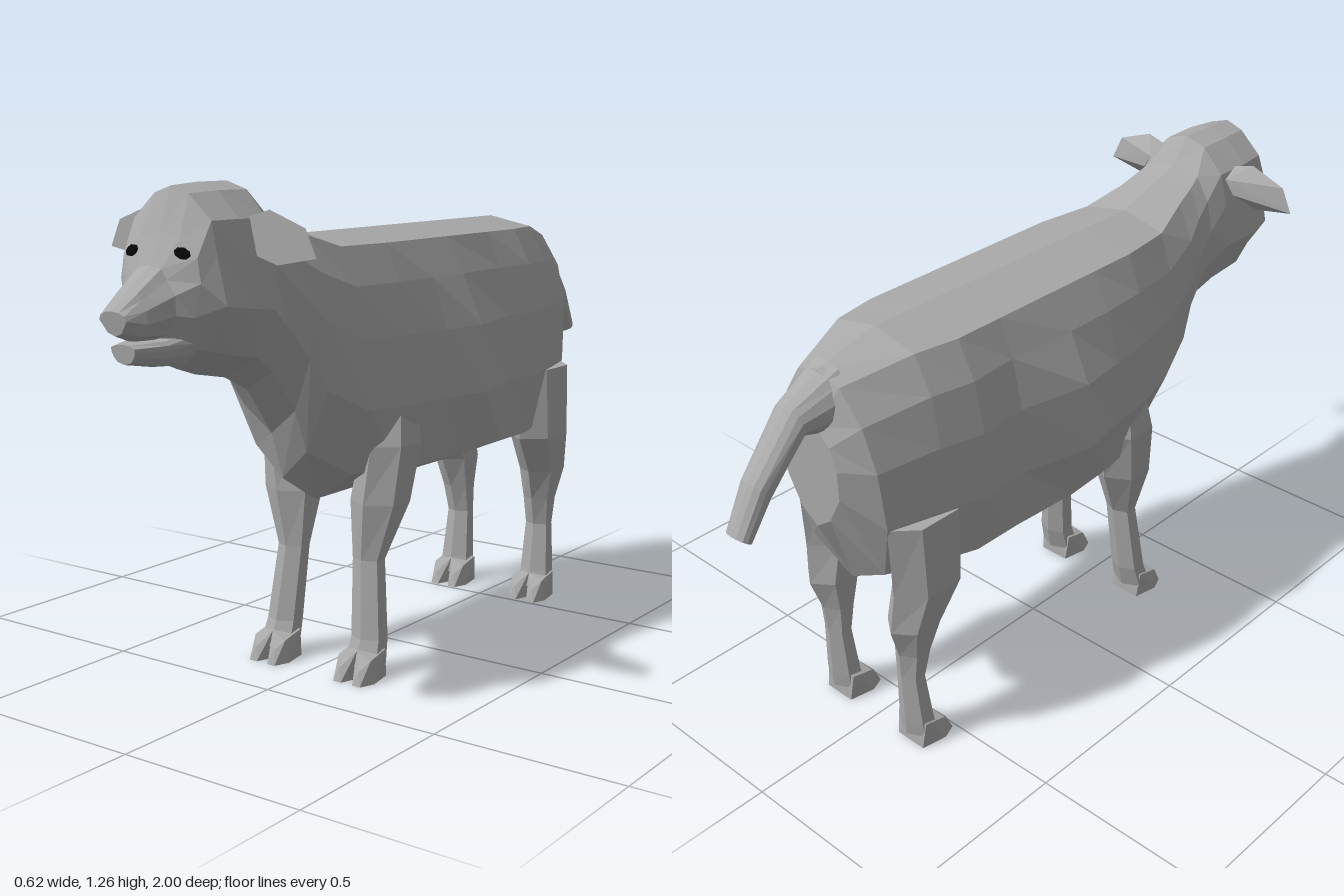
import * as THREE from 'three';
import { ConvexGeometry } from 'three/addons/geometries/ConvexGeometry.js';

// Skin a list of closed rings (arrays of [x, y, z]) and cap both ends
function loft(rings) {
  const n = rings[0].length, index = [];
  for (let i = 0; i < rings.length - 1; i++) {
    for (let j = 0; j < n; j++) {
      const a = i * n + j, b = i * n + (j + 1) % n;
      index.push(a, a + n, b, b, a + n, b + n);
    }
  }
  const last = (rings.length - 1) * n;
  for (let j = 1; j < n - 1; j++) {
    index.push(0, j, j + 1, last, last + j + 1, last + j);
  }
  const g = new THREE.BufferGeometry();
  g.setAttribute('position', new THREE.Float32BufferAttribute(rings.flat(2), 3));
  g.setIndex(index);
  g.computeVertexNormals();
  return g;
}

// Upright ring: top point, bottom point, and half-widths at fixed heights between
const LEVELS = [0.04, 0.18, 0.37, 0.63, 0.88];
function bodyRing([zTop, yTop, zBot, yBot, ...widths]) {
  const at = (x, t) => [x, yTop + (yBot - yTop) * t, zTop + (zBot - zTop) * t];
  const side = widths.map((w, k) => at(w, LEVELS[k]));
  const mirror = side.map(([x, y, z]) => [-x, y, z]).reverse();
  return [at(0, 0), ...side, at(0, 1), ...mirror];
}

// Level hexagonal ring for limbs
function legRing([y, x, z, rx, rz], side) {
  return Array.from({ length: 6 }, (_, k) => {
    const a = (k + 0.5) * Math.PI / 3;
    return [side * x + rx * 1.1 * Math.cos(a), y, z + rz * Math.sin(a)];
  });
}

// zTop, yTop, zBottom, yBottom, five half-widths
const BODY = [
  [-0.76, 0.98, -0.755, 0.68, 0.03, 0.07, 0.09, 0.09, 0.05],
  [-0.72, 1.09, -0.66, 0.48, 0.07, 0.13, 0.16, 0.165, 0.13],
  [-0.54, 1.13, -0.54, 0.46, 0.13, 0.18, 0.205, 0.205, 0.17],
  [-0.42, 1.13, -0.42, 0.45, 0.15, 0.20, 0.23, 0.235, 0.20],
  [-0.28, 1.13, -0.28, 0.45, 0.15, 0.19, 0.22, 0.225, 0.20],
  [-0.08, 1.13, -0.08, 0.45, 0.15, 0.20, 0.26, 0.275, 0.21],
  [0.06, 1.13, 0.06, 0.45, 0.15, 0.20, 0.24, 0.245, 0.20],
  [0.20, 1.13, 0.19, 0.45, 0.15, 0.19, 0.22, 0.225, 0.18],
  [0.36, 1.13, 0.30, 0.45, 0.13, 0.17, 0.19, 0.19, 0.12],
  [0.47, 1.165, 0.43, 0.53, 0.10, 0.15, 0.165, 0.155, 0.08],
  [0.53, 1.185, 0.47, 0.65, 0.09, 0.13, 0.15, 0.14, 0.08],
  [0.57, 1.20, 0.56, 0.77, 0.08, 0.12, 0.14, 0.13, 0.08],
];
const HEAD = [
  [0.57, 1.20, 0.56, 0.77, 0.08, 0.12, 0.14, 0.13, 0.08],
  [0.62, 1.265, 0.64, 0.81, 0.06, 0.12, 0.14, 0.15, 0.10],
  [0.72, 1.265, 0.74, 0.83, 0.06, 0.125, 0.145, 0.165, 0.11],
  [0.805, 1.26, 0.80, 0.85, 0.05, 0.115, 0.13, 0.155, 0.09],
  [0.845, 1.16, 0.85, 0.87, 0.06, 0.11, 0.12, 0.10, 0.055],
  [0.88, 1.09, 0.88, 0.92, 0.035, 0.05, 0.075, 0.075, 0.05],
  [0.95, 1.04, 0.95, 0.93, 0.03, 0.04, 0.055, 0.06, 0.045],
  [1.0, 1.0, 0.99, 0.945, 0.02, 0.035, 0.04, 0.03, 0.02],
];
const JAW = [
  [0.82, 0.95, 0.82, 0.86, 0.06, 0.075, 0.08, 0.07, 0.05],
  [0.89, 0.93, 0.88, 0.865, 0.05, 0.06, 0.06, 0.055, 0.04],
  [0.97, 0.925, 0.965, 0.88, 0.02, 0.035, 0.035, 0.03, 0.02],
];
const TAIL = [
  [-1.0, 0.775, -0.955, 0.745, 0.015, 0.03, 0.035, 0.035, 0.02],
  [-0.94, 0.89, -0.895, 0.83, 0.02, 0.035, 0.04, 0.04, 0.025],
  [-0.82, 1.035, -0.79, 0.95, 0.025, 0.04, 0.05, 0.05, 0.03],
  [-0.69, 1.10, -0.70, 0.92, 0.04, 0.06, 0.075, 0.075, 0.05],
];

// y, x, z, half-width, half-depth
const FRONT_LEG = [
  [0.035, 0.14, 0.275, 0.05, 0.045], [0.10, 0.138, 0.255, 0.045, 0.04],
  [0.30, 0.122, 0.235, 0.04, 0.035], [0.45, 0.14, 0.21, 0.07, 0.075],
  [0.60, 0.16, 0.19, 0.065, 0.09], [0.74, 0.165, 0.18, 0.04, 0.06],
];
const HIND_LEG = [
  [0.035, 0.14, -0.59, 0.047, 0.045], [0.08, 0.14, -0.597, 0.045, 0.04],
  [0.22, 0.138, -0.608, 0.036, 0.032], [0.30, 0.142, -0.602, 0.042, 0.046],
  [0.39, 0.15, -0.60, 0.055, 0.078], [0.50, 0.16, -0.56, 0.065, 0.11],
  [0.70, 0.16, -0.56, 0.06, 0.12],
];

export function createModel() {
  const model = new THREE.Group();
  const wool = new THREE.MeshStandardMaterial({ color: 0xa9a9a9, flatShading: true });
  wool.name = 'grey wool';
  const black = new THREE.MeshStandardMaterial({ color: 0x060606, flatShading: true });
  black.name = 'eye black';

  const add = (name, geometry, material = wool) => {
    const mesh = new THREE.Mesh(geometry, material);
    mesh.name = name;
    model.add(mesh);
    return mesh;
  };
  const hull = (points, side) =>
    new ConvexGeometry(points.map(([x, y, z]) => new THREE.Vector3(side * x, y, z)));

  add('body', loft(BODY.map(bodyRing)));
  add('head', loft(HEAD.map(bodyRing)));
  add('lowerJaw', loft(JAW.map(bodyRing)));
  add('tail', loft(TAIL.map(bodyRing)));

  for (const [side, label] of [[1, 'left'], [-1, 'right']]) {
    // Ear: flat front blade with a ridge at the back of its root
    add(`${label}Ear`, hull([
      [0.12, 1.11, 0.685], [0.12, 1.19, 0.685], [0.18, 1.207, 0.685],
      [0.28, 1.17, 0.685], [0.31, 1.105, 0.685], [0.20, 1.085, 0.685],
      [0.13, 1.17, 0.63], [0.155, 1.13, 0.635],
    ], side));

    // Eye: thin plate lying on the slope of the face
    const eye = add(`${label}Eye`, new THREE.CylinderGeometry(0.02, 0.02, 0.008, 8), black);
    eye.scale.z = 0.65;
    eye.position.set(side * 0.075, 1.117, 0.855);
    eye.quaternion.setFromUnitVectors(
      new THREE.Vector3(0, 1, 0), new THREE.Vector3(side * 0.25, 0.315, 0.91).normalize());

    for (const [rows, name, heel, toe] of [
      [FRONT_LEG, 'FrontLeg', 0.245, 0.355], [HIND_LEG, 'HindLeg', -0.62, -0.51],
    ]) {
      add(label + name, loft(rows.map(r => legRing(r, side))));
      // Cloven hoof: two wedge toes with a gap at the front
      for (const s of [-1, 1]) {
        const x = k => 0.138 + s * k;
        add(`${label}${name}Hoof`, hull([
          [x(0), 0, heel], [x(0.045), 0, heel], [x(0.058), 0, toe - 0.04],
          [x(0.042), 0, toe], [x(0.018), 0, toe], [x(0), 0, toe - 0.05],
          [x(0), 0.085, heel + 0.005], [x(0.05), 0.075, heel + 0.01],
          [x(0.05), 0.06, toe - 0.035], [x(0), 0.075, toe - 0.045],
          [x(0.03), 0.035, toe - 0.012],
        ], side));
      }
    }
  }
  return model;
}
